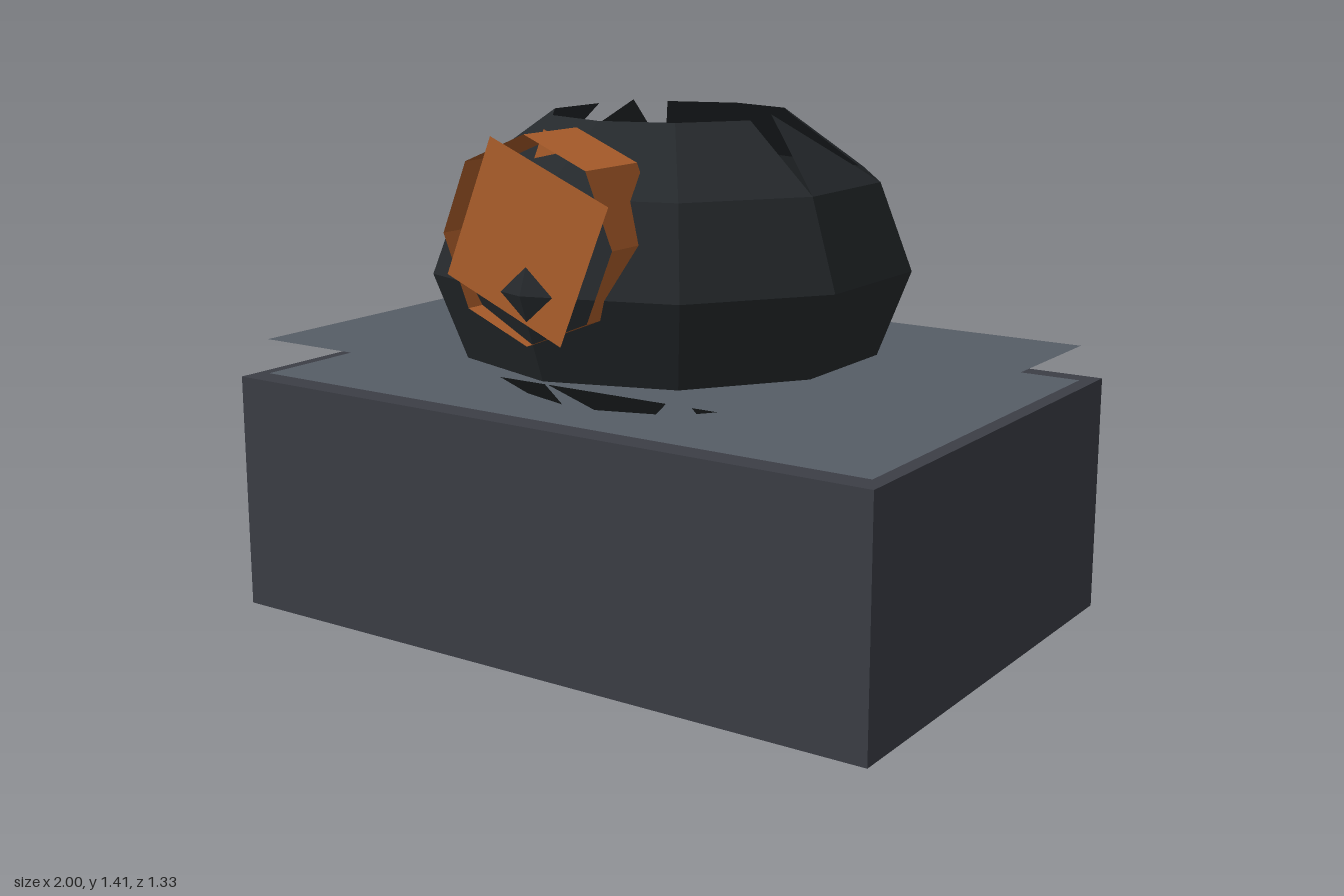
import * as THREE from 'three';

const material = (color) =>
  new THREE.MeshStandardMaterial({ color, flatShading: true, side: THREE.DoubleSide });

function addMesh(parent, name, geometry, mat) {
  const mesh = new THREE.Mesh(geometry, mat);
  mesh.name = name;
  parent.add(mesh);
  return mesh;
}

// Open faceted shell: squashed sphere rings, with pointed tabs in place of some end panels
function shellGeometry() {
  const sides = 10, radius = 0.667, height = 0.47, centreY = 1;
  const ring = (lat, i) => {
    const a = (i / sides) * Math.PI * 2;
    const r = radius * Math.cos(lat);
    return [r * Math.sin(a), centreY + height * Math.sin(lat), r * Math.cos(a)];
  };
  const step = Math.PI / 6;
  const positions = [];
  const tri = (a, b, c) => positions.push(...a, ...b, ...c);
  const quad = (low, high, i) => {
    const a = ring(low, i), b = ring(low, i + 1), c = ring(high, i + 1), d = ring(high, i);
    tri(a, b, c);
    tri(a, c, d);
  };
  // Tip of a tab lies over the middle of the panel's short edge
  const tip = (lat, i) => {
    const p = ring(lat, i), q = ring(lat, i + 1);
    return [(p[0] + q[0]) / 2, centreY + Math.sign(lat) * 0.415, (p[2] + q[2]) / 2];
  };
  const topTabs = [2, 6];
  for (let i = 0; i < sides; i++) {
    quad(-step, 0, i);
    quad(0, step, i);
    if (topTabs.includes(i)) tri(ring(step, i), ring(step, i + 1), tip(2 * step, i));
    else quad(step, 2 * step, i);
    tri(ring(-step, i + 1), ring(-step, i), tip(-2 * step, i));
  }
  const geometry = new THREE.BufferGeometry();
  geometry.setAttribute('position', new THREE.Float32BufferAttribute(positions, 3));
  geometry.computeVertexNormals();
  return geometry;
}

export function createModel() {
  const model = new THREE.Group();
  model.name = 'model';
  const baseMat = material(0x3c3e46);
  const slateMat = material(0x565d66);
  const shellMat = material(0x25292c);
  const orangeMat = material(0xb0602c);

  // Base block
  addMesh(model, 'base', new THREE.BoxGeometry(2, 0.667, 1.333), baseMat).position.y = 0.3335;

  // Inset panel on the base and a thin sheet floating above it
  for (const [name, y] of [['insetPanel', 0.669], ['floatingSheet', 0.767]]) {
    const sheet = addMesh(model, name, new THREE.PlaneGeometry(1.92, 1.2), slateMat);
    sheet.rotation.x = -Math.PI / 2;
    sheet.position.y = y;
  }

  // Hollow faceted body
  addMesh(model, 'shell', shellGeometry(), shellMat);

  // Octagonal collar with a tilted square plate on each end
  const collar = new THREE.Group();
  collar.name = 'frontCollar';
  collar.position.set(0, 1.133, 0.533);
  model.add(collar);
  const tube = new THREE.CylinderGeometry(0.265, 0.265, 0.215, 8, 1, true);
  addMesh(collar, 'collarWall', tube, orangeMat).rotation.x = Math.PI / 2;
  for (const [name, z] of [['collarFrontPlate', 0.1075], ['collarBackPlate', -0.1075]]) {
    const plate = addMesh(collar, name, new THREE.PlaneGeometry(0.39, 0.39), orangeMat);
    plate.rotation.z = -Math.PI / 8;
    plate.position.z = z;
  }
  return model;
}
